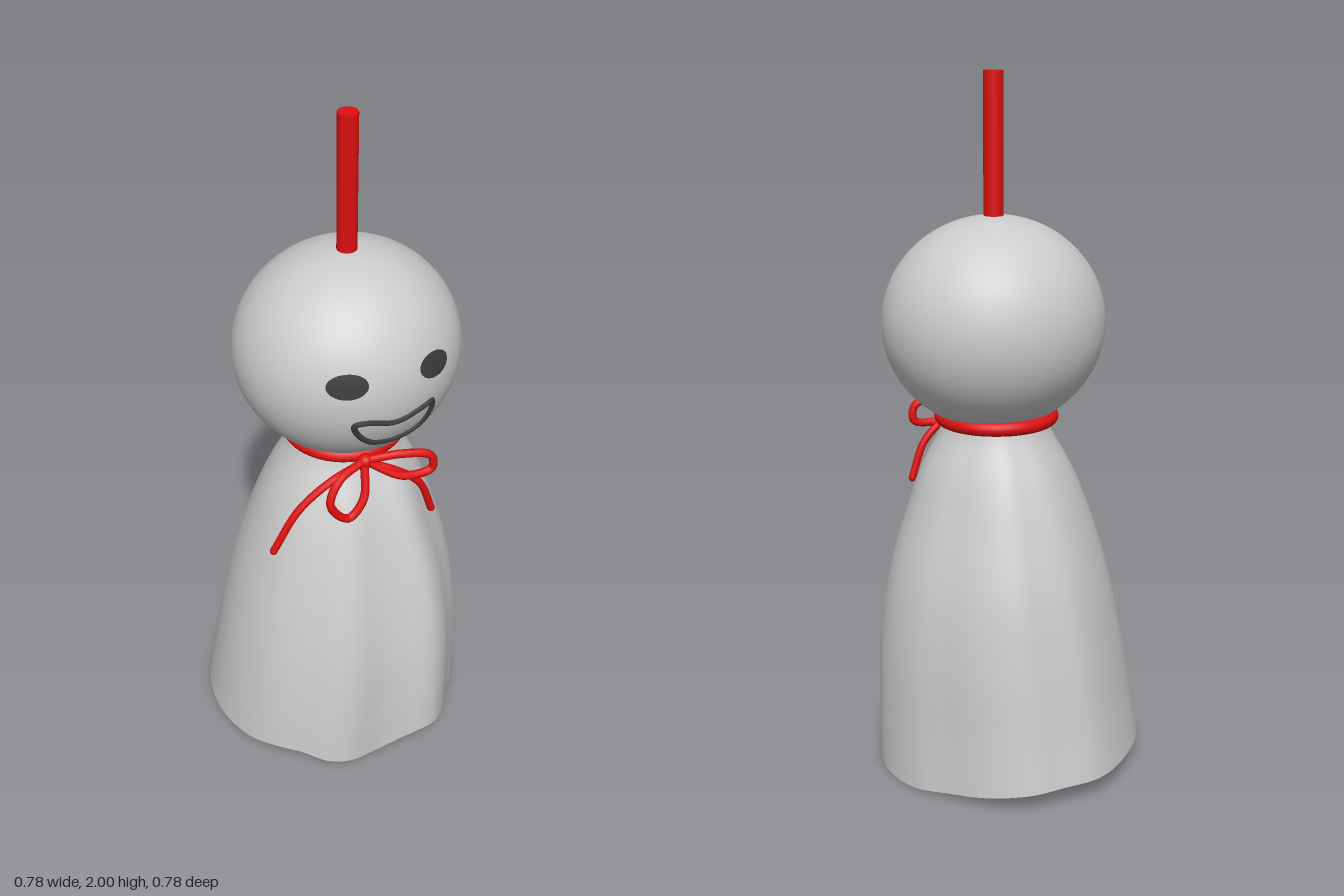
import * as THREE from 'three';

const cloth = new THREE.MeshStandardMaterial({ color: 0xcccccc, side: THREE.DoubleSide });
const red = new THREE.MeshStandardMaterial({ color: 0xdd1010 });
const ink = new THREE.MeshStandardMaterial({ color: 0x3c3c3c, side: THREE.DoubleSide });

const HEAD = { c: new THREE.Vector3(0.036, 1.31, 0.03), r: new THREE.Vector3(0.318, 0.3, 0.301) };

const V = (p) => new THREE.Vector3(...p);

function add(parent, name, geometry, material) {
  const mesh = new THREE.Mesh(geometry, material);
  mesh.name = name;
  parent.add(mesh);
  return mesh;
}

// z of the head's front surface at (x, y)
function faceZ(x, y) {
  const a = (x - HEAD.c.x) / HEAD.r.x, b = (y - HEAD.c.y) / HEAD.r.y;
  return HEAD.c.z + HEAD.r.z * Math.sqrt(Math.max(0, 1 - a * a - b * b));
}

// Wavy hem, as x, y, z
const HEM = [
  [0.387, 0.005, 0.02], [0.37, 0.02, 0.12], [0.33, 0.04, 0.2], [0.27, 0.06, 0.27],
  [0.21, 0.075, 0.35], [0.16, 0.08, 0.385], [0.11, 0.075, 0.388], [0.06, 0.055, 0.375],
  [-0.02, 0.035, 0.367], [-0.12, 0.045, 0.378], [-0.19, 0.06, 0.36], [-0.25, 0.08, 0.31],
  [-0.31, 0.08, 0.25], [-0.36, 0.07, 0.17], [-0.39, 0.065, 0.03], [-0.37, 0.065, -0.1],
  [-0.31, 0.06, -0.215], [-0.21, 0.06, -0.315], [-0.12, 0.06, -0.375], [-0.06, 0.06, -0.393],
  [0.03, 0.06, -0.394], [0.11, 0.058, -0.393], [0.17, 0.05, -0.365], [0.24, 0.035, -0.3],
  [0.3, 0.02, -0.21], [0.36, 0.005, -0.11],
];
// Rows up the dress: height, half width, centre x, centre z, strength of the folds
const ROWS = [
  [0.055, 0.39, 0, 0, 1], [0.2, 0.378, 0.008, 0.01, 1], [0.4, 0.357, 0.02, 0.016, 0.95],
  [0.6, 0.318, 0.027, 0.017, 0.9], [0.8, 0.254, 0.028, 0.022, 0.8],
  [0.9, 0.213, 0.032, 0.024, 0.7], [1.0, 0.16, 0.034, 0.025, 0.55], [1.07, 0.14, 0.034, 0.026, 0.4],
];

function dressGeometry() {
  const around = 96, up = 32;
  const hem = new THREE.CatmullRomCurve3(HEM.map(V), true);
  // Smooth the rows with two splines sharing one parameter
  const sizes = new THREE.CatmullRomCurve3(ROWS.map((r) => new THREE.Vector3(r[0], r[1], r[4])));
  const centres = new THREE.CatmullRomCurve3(ROWS.map((r) => new THREE.Vector3(r[0], r[2], r[3])));
  const pos = [], index = [];
  for (let j = 0; j <= up; j++) {
    const s = sizes.getPoint(j / up), c = centres.getPoint(j / up);
    const droop = Math.pow(1 - j / up, 3);
    for (let i = 0; i < around; i++) {
      const h = hem.getPoint(i / around);
      const len = Math.hypot(h.x, h.z);
      const k = s.y * THREE.MathUtils.lerp(1 / len, 1 / 0.39, s.z);
      pos.push(c.y + h.x * k, s.x + (h.y - 0.055) * droop, c.z + h.z * k);
    }
  }
  for (let j = 0; j < up; j++) {
    for (let i = 0; i < around; i++) {
      const a = j * around + i, b = j * around + (i + 1) % around;
      index.push(a, a + around, b, b, a + around, b + around);
    }
  }
  const g = new THREE.BufferGeometry();
  g.setAttribute('position', new THREE.Float32BufferAttribute(pos, 3));
  g.setIndex(index);
  g.computeVertexNormals();
  return g;
}

// Underside: a fan from the hem to a centre point
function undersideGeometry() {
  const n = 96, hem = new THREE.CatmullRomCurve3(HEM.map(V), true);
  const pos = [0, 0.06, 0], index = [];
  for (let i = 0; i < n; i++) {
    pos.push(...hem.getPoint(i / n).toArray());
    index.push(0, 1 + i, 1 + (i + 1) % n);
  }
  const g = new THREE.BufferGeometry();
  g.setAttribute('position', new THREE.Float32BufferAttribute(pos, 3));
  g.setIndex(index);
  g.computeVertexNormals();
  return g;
}

// Round cord along points, with rounded ends
function cord(parent, name, points, radius) {
  const group = new THREE.Group();
  group.name = name;
  const curve = new THREE.CatmullRomCurve3(points.map(V));
  add(group, name + 'Cord', new THREE.TubeGeometry(curve, 48, radius, 10), red);
  for (const p of [points[0], points[points.length - 1]]) {
    add(group, name + 'End', new THREE.SphereGeometry(radius, 10, 8), red).position.set(...p);
  }
  parent.add(group);
}

// Flat oval eye wrapped onto the head
function eye(parent, name, x, y, tilt) {
  const g = new THREE.RingGeometry(0, 1, 40, 5);
  g.scale(0.051, 0.035, 1);
  g.rotateZ(tilt);
  const p = g.attributes.position;
  for (let i = 0; i < p.count; i++) {
    const px = p.getX(i) + x, py = p.getY(i) + y;
    p.setXYZ(i, px, py, faceZ(px, py) + 0.005);
  }
  g.computeVertexNormals();
  add(parent, name, g, ink);
}

export function createModel() {
  const model = new THREE.Group();
  model.name = 'hangingClothDoll';

  // Head and hanging string
  const head = add(model, 'head', new THREE.SphereGeometry(1, 64, 48), cloth);
  head.position.copy(HEAD.c);
  head.scale.copy(HEAD.r);
  const string = add(model, 'hangingString', new THREE.CylinderGeometry(0.028, 0.028, 0.42, 32), red);
  string.position.set(0.036, 1.79, 0.029);

  // Face
  eye(model, 'rightEye', -0.1, 1.375, 0.12);
  eye(model, 'leftEye', 0.15, 1.375, -0.2);
  const lips = [
    [-0.082, 1.25], [-0.055, 1.257], [0.03, 1.24], [0.11, 1.257], [0.145, 1.262], [0.146, 1.225],
    [0.118, 1.178], [0.05, 1.158], [-0.02, 1.168], [-0.065, 1.207],
  ].map(([x, y]) => new THREE.Vector3(x, y, faceZ(x, y)));
  add(model, 'mouth', new THREE.TubeGeometry(new THREE.CatmullRomCurve3(lips, true), 96, 0.009, 8, true), ink);

  // Dress
  add(model, 'dress', dressGeometry(), cloth);
  add(model, 'dressUnderside', undersideGeometry(), cloth);

  // Neck tie
  const ring = add(model, 'neckTie', new THREE.TorusGeometry(0.157, 0.02, 16, 64), red);
  ring.rotation.x = Math.PI / 2;
  ring.position.set(0.031, 1.04, 0.024);

  // Bow
  const bow = new THREE.Group();
  bow.name = 'bow';
  model.add(bow);
  const knot = add(bow, 'knot', new THREE.SphereGeometry(0.022, 16, 12), red);
  knot.position.set(0.005, 1.033, 0.205);
  cord(bow, 'rightLoop', [[0, 1.035, 0.205], [-0.085, 1.01, 0.225], [-0.12, 0.945, 0.24],
    [-0.07, 0.888, 0.25], [-0.02, 0.935, 0.245], [0, 1.03, 0.21]], 0.012);
  cord(bow, 'leftLoop', [[0, 1.035, 0.205], [0.1, 1.048, 0.24], [0.18, 1.03, 0.262],
    [0.185, 0.983, 0.262], [0.1, 0.978, 0.25], [0.01, 1.03, 0.21]], 0.012);
  cord(bow, 'rightTail', [[0, 1.03, 0.205], [-0.1, 1.01, 0.215], [-0.2, 0.94, 0.21], [-0.278, 0.815, 0.203]], 0.011);
  cord(bow, 'leftTail', [[0, 1.03, 0.205], [0.08, 0.995, 0.232], [0.16, 0.925, 0.24], [0.203, 0.815, 0.24]], 0.011);

  return model;
}
